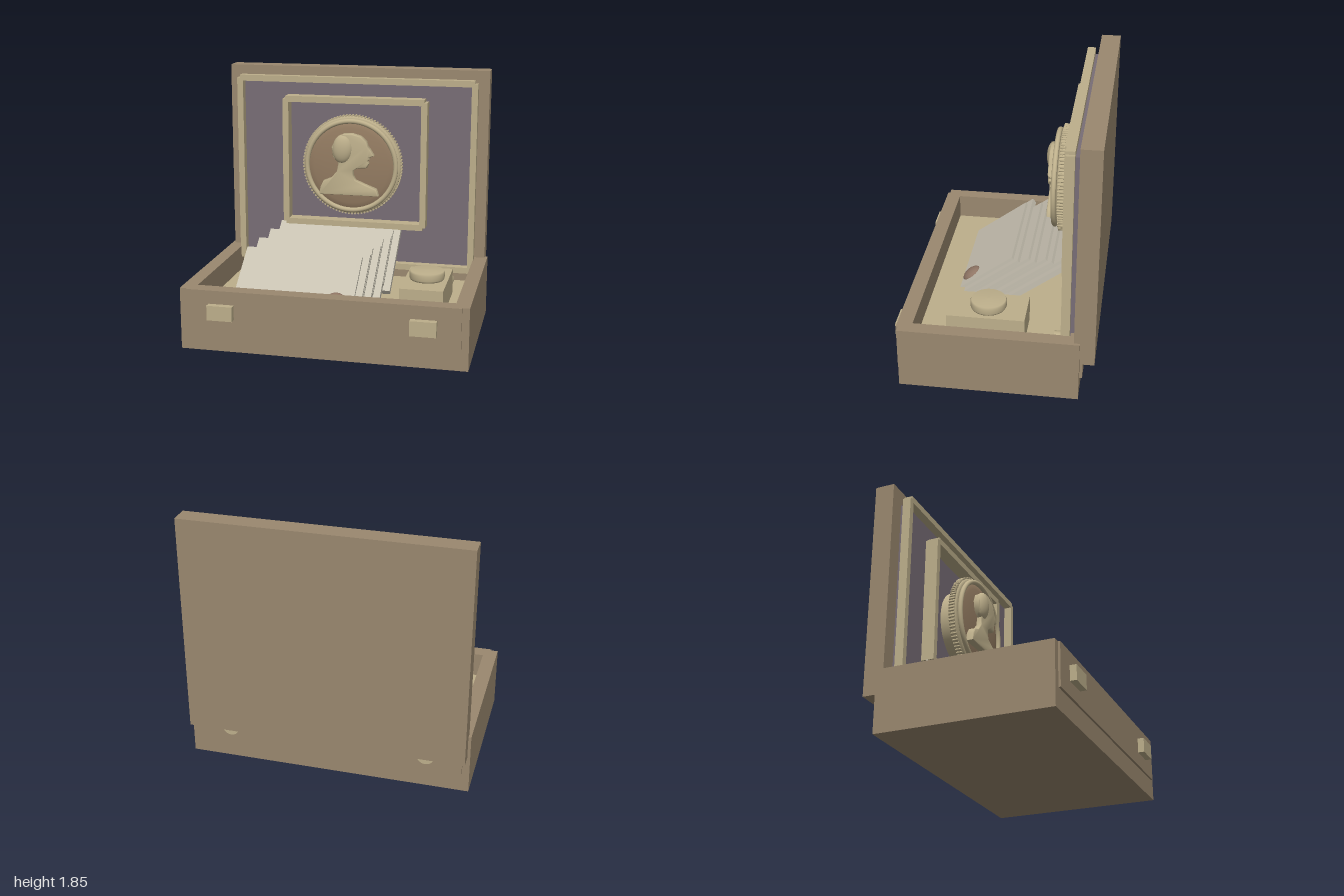
import * as THREE from 'three';
import { toCreasedNormals } from 'three/addons/utils/BufferGeometryUtils.js';

const material = (name, color) => {
  const m = new THREE.MeshStandardMaterial({ color });
  m.name = name;
  return m;
};

export function createModel() {
  const model = new THREE.Group();
  model.name = 'presentationBox';
  const wood = material('brown wood', 0x9a886f);
  const tan = material('tan brass', 0xbdaf8b);
  const velvet = material('purple velvet', 0x786d76);
  const paper = material('paper', 0xc6c0b0);
  const bronze = material('bronze', 0x947c62);
  const wax = material('wax seal', 0x8f7564);

  const add = (name, geometry, mat, parent = model) => {
    const mesh = new THREE.Mesh(geometry, mat);
    mesh.name = name;
    parent.add(mesh);
    return mesh;
  };
  // Box given by its extents on each axis
  const box = (name, mat, [x0, x1], [y0, y1], [z0, z1], parent = model) => {
    const mesh = add(name, new THREE.BoxGeometry(x1 - x0, y1 - y0, z1 - z0), mat, parent);
    mesh.position.set((x0 + x1) / 2, (y0 + y1) / 2, (z0 + z1) / 2);
    return mesh;
  };
  const lathe = (points, segments = 64) =>
    new THREE.LatheGeometry(points.map(([r, h]) => new THREE.Vector2(r, h)), segments);

  // Tray
  box('bottomSlab', wood, [-1, 1], [0, 0.14], [-0.59, 0.63]);
  box('floorLining', tan, [-0.9, 0.9], [0.14, 0.26], [-0.52, 0.54]);
  box('frontWall', wood, [-0.95, 0.95], [0.14, 0.44], [0.54, 0.645]);
  box('backWall', wood, [-0.95, 0.95], [0.14, 0.44], [-0.61, -0.52]);
  for (const s of [-1, 1]) {
    box('sideWall', wood, [s * 0.95 - 0.05, s * 0.95 + 0.05], [0.14, 0.44], [-0.59, 0.63]);
    box('latch', tan, [s * 0.7 - 0.09, s * 0.7 + 0.09], [0.24, 0.345], [0.645, 0.69]);
    const hinge = add('hinge', new THREE.CylinderGeometry(0.06, 0.06, 0.235, 32), tan);
    hinge.rotation.x = Math.PI / 2;
    hinge.position.set(s * 0.7, 0.26, -0.5125);
  }

  // Upright lid with velvet panel
  box('lid', wood, [-0.98, 0.98], [0.275, 1.845], [-0.69, -0.55]);
  box('velvetPanel', velvet, [-0.865, 0.865], [0.38, 1.735], [-0.55, -0.515]);

  // Frame whose corners are stepped where the bars meet
  const frame = (name, w, y0, y1, z0, z1) => {
    const g = new THREE.Group();
    g.name = name;
    model.add(g);
    const t = 0.045, step = 0.022;
    for (const s of [-1, 1]) {
      const x = s * (w - t / 2);
      box('frameSide', tan, [x - t / 2, x + t / 2], [y0 + step, y1 - step], [z0, z1], g);
    }
    box('frameTop', tan, [-w + step, w - step], [y1 - t, y1], [z0, z1], g);
    box('frameBottom', tan, [-w + step, w - step], [y0, y0 + t], [z0, z1], g);
  };
  frame('outerFrame', 0.905, 0.335, 1.78, -0.515, -0.455);
  frame('innerFrame', 0.545, 0.655, 1.637, -0.515, -0.42);

  // Medallion, built facing +z from its own back plane
  const medal = new THREE.Group();
  medal.name = 'medallion';
  medal.position.set(0, 1.145, -0.42);
  model.add(medal);
  const body = lathe([[0, 0], [0.34, 0], [0.36, 0.008], [0.367, 0.02], [0.367, 0.05],
    [0.36, 0.062], [0.34, 0.07], [0, 0.07]], 96);
  add('medalBody', body.rotateX(Math.PI / 2), tan, medal);
  const mount = add('medalMount', new THREE.CylinderGeometry(0.28, 0.28, 0.1, 48), tan, medal);
  mount.rotation.x = Math.PI / 2;
  mount.position.z = -0.046;
  const ribs = 96;
  const ribGeometry = new THREE.CylinderGeometry(0.008, 0.008, 0.045, 8).rotateX(Math.PI / 2);
  for (let i = 0; i < ribs; i++) {
    const a = (i / ribs) * Math.PI * 2;
    add('edgeRib', ribGeometry, tan, medal)
      .position.set(0.368 * Math.cos(a), 0.368 * Math.sin(a), 0.035);
  }
  add('medalRim', new THREE.TorusGeometry(0.333, 0.018, 16, 96), tan, medal).position.z = 0.087;
  const dome = lathe([[0.322, 0.068], [0.322, 0.076], [0.28, 0.086], [0.2, 0.097], [0.1, 0.104], [0, 0.106]]);
  add('medalFace', dome.rotateX(Math.PI / 2), bronze, medal);

  // Profile bust in relief
  const outline = [[-0.225, 0.94], [0.205, 0.94], [0.19, 0.98], [0.11, 1.012], [0.035, 1.045],
    [0.018, 1.085], [0.02, 1.125], [0.055, 1.145], [0.12, 1.15], [0.133, 1.175], [0.122, 1.195],
    [0.138, 1.21], [0.135, 1.225], [0.168, 1.238], [0.145, 1.275], [0.125, 1.3], [0.115, 1.335],
    [0.075, 1.37], [0.01, 1.388], [-0.05, 1.383], [-0.1, 1.35], [-0.13, 1.29], [-0.12, 1.22],
    [-0.08, 1.18], [-0.09, 1.11], [-0.135, 1.055], [-0.195, 1.03], [-0.215, 0.99]];
  const bustShape = new THREE.Shape(outline.map(([x, y]) => new THREE.Vector2(x, y - 1.145)));
  const bust = new THREE.ExtrudeGeometry(bustShape, {
    depth: 0.035, bevelThickness: 0.012, bevelSize: 0.007, bevelSegments: 3,
  });
  add('bust', toCreasedNormals(bust, 0.9), tan, medal).position.z = 0.096;
  const hair = add('hair', new THREE.SphereGeometry(1, 32, 20), tan, medal);
  hair.scale.set(0.075, 0.108, 0.045);
  hair.position.set(-0.057, 0.133, 0.127);
  hair.rotation.z = -0.08;

  // Stack of leaning cards, each with a raised smaller sheet
  const tilt = Math.atan2(0.8, 0.6);
  for (let i = 0; i < 4; i++) {
    const card = new THREE.Group();
    card.name = 'card';
    card.position.set(-0.265 + 0.053 * i, 0.362 + 0.038 * i, 0.148 - 0.127 * i);
    card.rotation.x = -tilt;
    model.add(card);
    box('cardBoard', paper, [-0.465, 0.465], [-0.295, 0.295], [-0.02, 0.02], card);
    box('cardSheet', paper, [-0.415, 0.415], [-0.25, 0.25], [0.02, 0.042], card);
  }

  // Wax seal resting on the front card
  const seal = add('waxSeal', new THREE.SphereGeometry(0.074, 32, 20), wax);
  seal.scale.z = 0.53;
  seal.rotation.x = -tilt;
  seal.position.set(0.02, 0.3, 0.287);

  // Small stand with a round token
  box('tokenStand', tan, [0.48, 0.785], [0.26, 0.445], [-0.2, 0.335]);
  const token = lathe([[0, 0], [0.118, 0], [0.124, 0.012], [0.125, 0.05], [0.118, 0.063], [0, 0.066]], 48);
  add('token', token, tan).position.set(0.635, 0.445, 0.065);

  return model;
}
